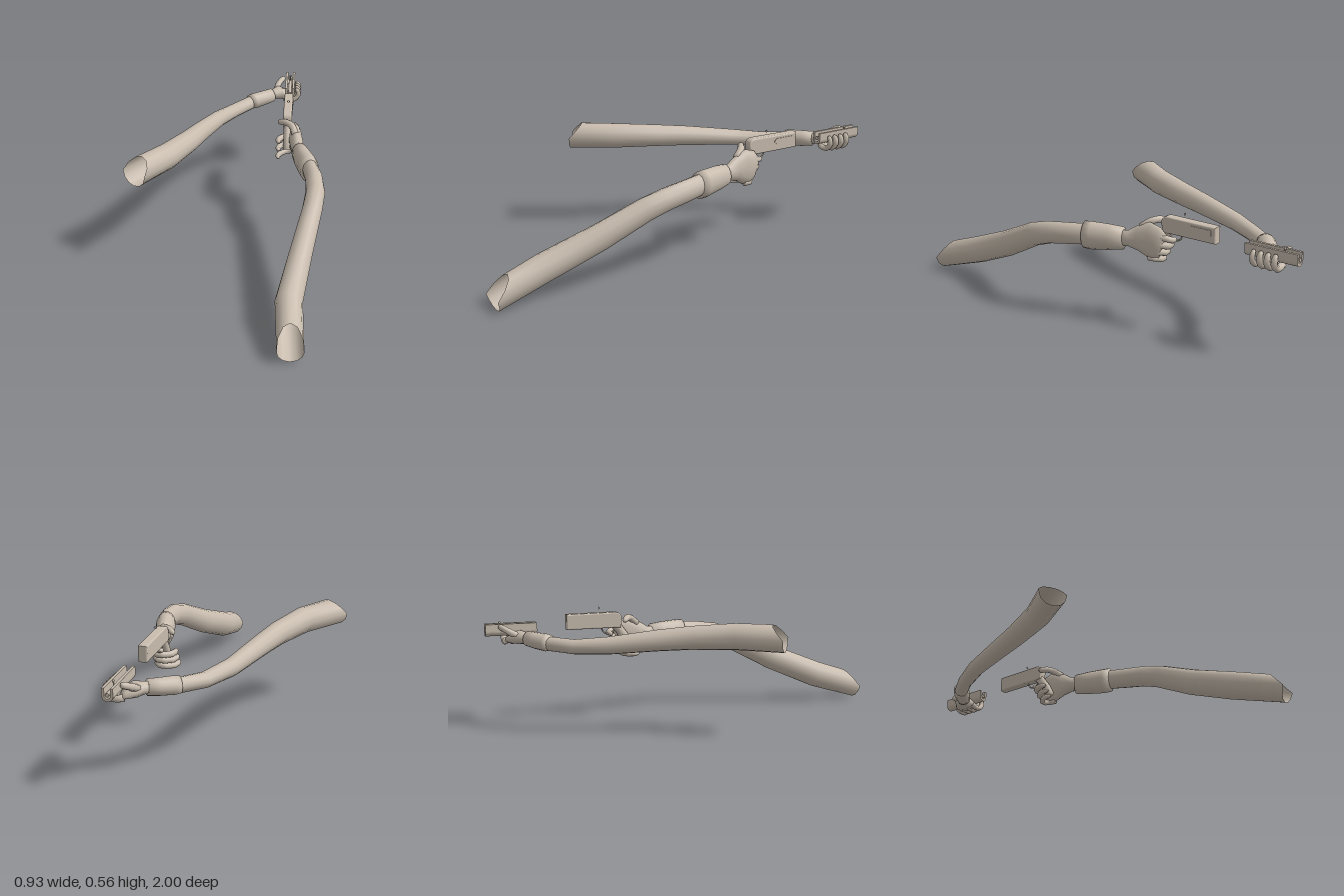
import * as THREE from 'three';

const skin = new THREE.MeshStandardMaterial({ color: 0xc8bcae, side: THREE.DoubleSide });
skin.name = 'warm grey';

// Smooth skin over elliptical rings: each station is [x, y, z, sideRadius, upRadius]
function loft(name, stations, { sides = 12, caps = true, cut = 0, up = [0, 1, 0] } = {}) {
  const ref = new THREE.Vector3(...up);
  const P = stations.map(s => new THREE.Vector3(s[0], s[1], s[2]));
  const n = P.length, pos = [], idx = [];
  P.forEach((p, i) => {
    const t = P[Math.min(i + 1, n - 1)].clone().sub(P[Math.max(i - 1, 0)]).normalize();
    const s = t.clone().cross(ref).normalize();
    const v = s.clone().cross(t);
    const [, , , a, b = a] = stations[i];
    for (let j = 0; j < sides; j++) {
      const w = (j / sides) * Math.PI * 2;
      const q = p.clone().addScaledVector(s, Math.cos(w) * a).addScaledVector(v, Math.sin(w) * b);
      if (i === 0) q.addScaledVector(t, cut * Math.max(0, Math.sin(w)));
      pos.push(q.x, q.y, q.z);
    }
  });
  for (let i = 0; i < n - 1; i++) for (let j = 0; j < sides; j++) {
    const k = (j + 1) % sides, a = i * sides, b = a + sides;
    idx.push(a + j, b + j, a + k, a + k, b + j, b + k);
  }
  if (caps) {
    const c = pos.length / 3, e = (n - 1) * sides;
    pos.push(...P[0].toArray(), ...P[n - 1].toArray());
    for (let j = 0; j < sides; j++) {
      const k = (j + 1) % sides;
      idx.push(c, j, k, c + 1, e + k, e + j);
    }
  }
  const g = new THREE.BufferGeometry();
  g.setAttribute('position', new THREE.Float32BufferAttribute(pos, 3));
  g.setIndex(idx);
  g.computeVertexNormals();
  return mesh(name, g);
}

function mesh(name, geometry, x = 0, y = 0, z = 0) {
  const m = new THREE.Mesh(geometry, skin);
  m.name = name;
  m.position.set(x, y, z);
  return m;
}

// Curved digit with a rounded tip
function finger(name, points, r, up) {
  const curve = new THREE.CatmullRomCurve3(points.map(p => new THREE.Vector3(...p)));
  const st = [0, 0.17, 0.34, 0.5, 0.67, 0.84, 0.95, 1].map((u, i) => {
    const k = [1.1, 1, 1.05, 0.95, 0.98, 0.88, 0.7, 0.3][i];
    return [...curve.getPoint(u).toArray(), r * k];
  });
  return loft(name, st, { sides: 8, up });
}

function leftArm() {
  const g = new THREE.Group();
  g.name = 'leftArm';
  g.add(loft('leftSleeve', [
    [0.335, 0.062, 1.0, 0.057, 0.064], [0.32, 0.14, 0.75, 0.06, 0.067],
    [0.365, 0.24, 0.51, 0.052, 0.063], [0.41, 0.345, 0.3, 0.046, 0.056],
    [0.422, 0.378, 0.2, 0.045, 0.053], [0.415, 0.393, 0.1, 0.041, 0.052],
    [0.393, 0.402, 0.0, 0.036, 0.05]], { caps: false, cut: 0.1 }));
  g.add(loft('leftCuff', [
    [0.393, 0.398, 0.015, 0.046, 0.064], [0.385, 0.398, -0.02, 0.048, 0.065],
    [0.36, 0.4, -0.1, 0.044, 0.06], [0.342, 0.403, -0.165, 0.039, 0.052]], { sides: 14 }));
  g.add(loft('leftHand', [
    [0.345, 0.403, -0.14, 0.03, 0.036], [0.336, 0.406, -0.19, 0.03, 0.038],
    [0.327, 0.413, -0.235, 0.033, 0.06], [0.32, 0.415, -0.285, 0.032, 0.084],
    [0.318, 0.405, -0.325, 0.028, 0.08], [0.314, 0.395, -0.355, 0.018, 0.06]]));
  // Curled fingers around the grip
  for (let i = 0; i < 3; i++) {
    const y = 0.405 - i * 0.035, z = i * 0.018;
    g.add(finger('leftFinger', [[0.325, y, -0.325 + z], [0.312, y - 0.004, -0.37 + z],
      [0.27, y - 0.01, -0.37 + z], [0.235, y - 0.012, -0.33 + z], [0.237, y - 0.01, -0.29 + z]], 0.0165 - i * 0.001));
  }
  g.add(finger('leftIndexFinger', [[0.323, 0.44, -0.325], [0.314, 0.436, -0.37],
    [0.295, 0.428, -0.395], [0.265, 0.423, -0.385]], 0.015));
  g.add(finger('leftThumb', [[0.318, 0.465, -0.245], [0.3, 0.493, -0.28],
    [0.268, 0.5, -0.305], [0.232, 0.488, -0.33]], 0.017));
  return g;
}

function rightArm() {
  const g = new THREE.Group();
  g.name = 'rightArm';
  g.add(loft('rightSleeve', [
    [-0.41, 0.465, 0.25, 0.067, 0.064], [-0.28, 0.467, 0.06, 0.06, 0.062],
    [-0.2, 0.459, -0.13, 0.052, 0.055], [-0.155, 0.448, -0.27, 0.047, 0.05],
    [-0.085, 0.425, -0.49, 0.041, 0.041], [-0.01, 0.415, -0.63, 0.037, 0.035],
    [0.075, 0.422, -0.732, 0.034, 0.034]], { caps: false, cut: 0.06 }));
  g.add(loft('rightCuff', [
    [0.068, 0.425, -0.728, 0.039, 0.037], [0.088, 0.426, -0.742, 0.042, 0.041],
    [0.14, 0.43, -0.782, 0.039, 0.039], [0.182, 0.435, -0.812, 0.036, 0.036]], { sides: 14 }));
  g.add(loft('rightHand', [
    [0.165, 0.434, -0.8, 0.025, 0.025], [0.195, 0.437, -0.825, 0.029, 0.028],
    [0.22, 0.438, -0.847, 0.045, 0.034], [0.245, 0.428, -0.855, 0.058, 0.025],
    [0.27, 0.415, -0.857, 0.055, 0.014]]));
  // Fingers wrapped under the fore grip
  for (let i = 0; i < 4; i++) {
    const z = -0.805 - i * 0.034;
    g.add(finger('rightFinger', [[0.25, 0.42, z], [0.285, 0.411, z], [0.315, 0.425, z],
      [0.327, 0.455, z], [0.31, 0.481, z]], i ? 0.0155 : 0.0135, [0, 0, 1]));
  }
  g.add(finger('rightThumb', [[0.205, 0.445, -0.855], [0.213, 0.465, -0.893],
    [0.23, 0.481, -0.92], [0.246, 0.49, -0.938]], 0.016));
  return g;
}

function rearPart() {
  const g = new THREE.Group();
  g.name = 'receiver';
  // Side profile drawn as (-z, y), then turned to run along z
  const s = new THREE.Shape();
  s.moveTo(0.345, 0.46);
  s.lineTo(0.605, 0.46);
  s.lineTo(0.605, 0.523);
  s.lineTo(0.365, 0.525);
  s.quadraticCurveTo(0.342, 0.522, 0.34, 0.5);
  s.closePath();
  const body = new THREE.ExtrudeGeometry(s, {
    depth: 0.03, bevelThickness: 0.007, bevelSize: 0.006, bevelSegments: 3, curveSegments: 5 });
  body.rotateY(Math.PI / 2);
  g.add(mesh('receiverBody', body, 0.262, 0, 0));
  // Ejection port plate
  const p = new THREE.Shape();
  p.moveTo(0.48, 0.497);
  p.quadraticCurveTo(0.48, 0.515, 0.5, 0.515);
  p.lineTo(0.59, 0.515);
  p.lineTo(0.59, 0.488);
  p.lineTo(0.49, 0.488);
  const port = new THREE.ExtrudeGeometry(p, { depth: 0.004, bevelEnabled: false });
  port.rotateY(Math.PI / 2);
  g.add(mesh('ejectionPort', port, 0.298, 0, 0));
  g.add(loft('grip', [[0.277, 0.475, -0.37, 0.019, 0.024], [0.277, 0.445, -0.345, 0.018, 0.022],
    [0.278, 0.4, -0.315, 0.019, 0.024], [0.278, 0.355, -0.295, 0.02, 0.026]], { up: [0, 0, -1] }));
  const guard = new THREE.TorusGeometry(0.033, 0.004, 6, 12, Math.PI);
  guard.rotateZ(Math.PI);
  guard.rotateY(Math.PI / 2);
  g.add(mesh('triggerGuard', guard, 0.277, 0.456, -0.4));
  g.add(mesh('ringSight', new THREE.TorusGeometry(0.0055, 0.0015, 6, 12), 0.278, 0.553, -0.445));
  return g;
}

function frontPart() {
  const g = new THREE.Group();
  g.name = 'foreEnd';
  // Open-topped channel
  const s = new THREE.Shape();
  s.moveTo(-0.025, 0.025);
  s.lineTo(-0.025, -0.008);
  s.absarc(0, -0.008, 0.025, Math.PI, Math.PI * 2, false);
  s.lineTo(0.025, 0.025);
  s.lineTo(0.013, 0.025);
  s.lineTo(0.013, -0.008);
  s.absarc(0, -0.008, 0.013, 0, -Math.PI, true);
  s.lineTo(-0.013, 0.025);
  const channel = new THREE.ExtrudeGeometry(s, { depth: 0.245, bevelEnabled: false, curveSegments: 8 });
  g.add(mesh('foreGrip', channel, 0.279, 0.473, -1));
  const rod = new THREE.CylinderGeometry(0.009, 0.009, 0.244, 12);
  rod.rotateX(Math.PI / 2);
  g.add(mesh('innerTube', rod, 0.279, 0.468, -0.878));
  g.add(mesh('frontBead', new THREE.SphereGeometry(0.006, 8, 6), 0.279, 0.503, -0.93));
  g.add(mesh('beadPost', new THREE.BoxGeometry(0.004, 0.03, 0.006), 0.279, 0.486, -0.93));
  return g;
}

export function createModel() {
  const model = new THREE.Group();
  model.name = 'armsWithLongTool';
  model.add(leftArm(), rightArm(), rearPart(), frontPart());
  return model;
}
